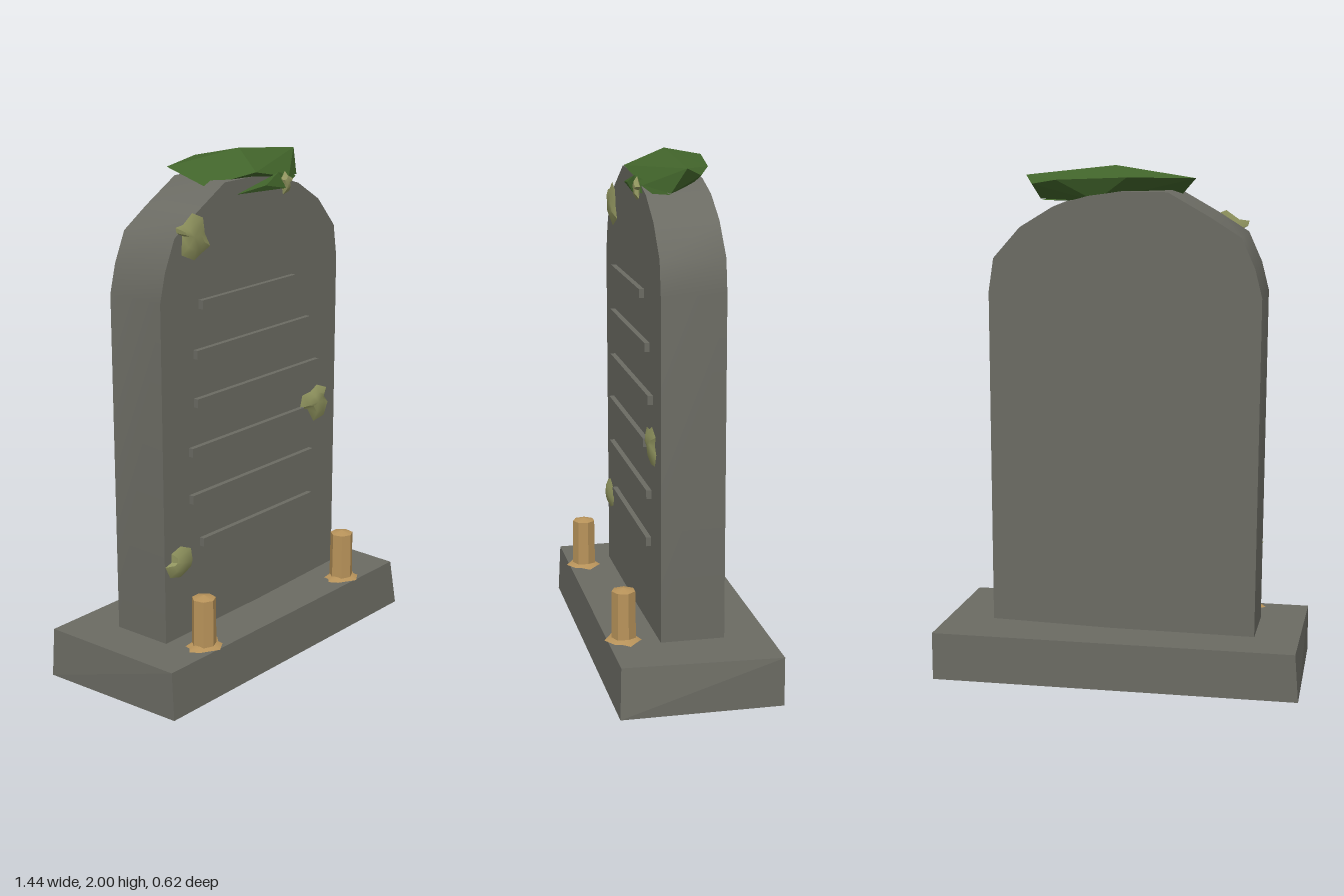
import * as THREE from 'three';
import { toCreasedNormals } from 'three/addons/utils/BufferGeometryUtils.js';
import { ConvexGeometry } from 'three/addons/geometries/ConvexGeometry.js';

const material = (name, color) => {
  const m = new THREE.MeshStandardMaterial({ color });
  m.name = name;
  return m;
};

// Thin closed lump: counter-clockwise outline in xy, raised to a front and a back apex
function patchGeometry(outline, front, back) {
  const n = outline.length;
  const cx = outline.reduce((s, p) => s + p[0], 0) / n;
  const cy = outline.reduce((s, p) => s + p[1], 0) / n;
  const pos = [];
  outline.forEach((a, i) => {
    const b = outline[(i + 1) % n];
    // inner ring at 55% gives the lump a rounded face
    const inner = (p) => [cx + (p[0] - cx) * 0.55, cy + (p[1] - cy) * 0.55, front * 0.8];
    const ia = inner(a), ib = inner(b);
    pos.push(...a, 0, ...b, 0, ...ib, ...a, 0, ...ib, ...ia);
    pos.push(...ia, ...ib, cx, cy, front);
    pos.push(...b, 0, ...a, 0, cx, cy, back);
  });
  const g = new THREE.BufferGeometry();
  g.setAttribute('position', new THREE.Float32BufferAttribute(pos, 3));
  return toCreasedNormals(g, 0.6);
}

export function createModel() {
  const group = new THREE.Group();
  group.name = 'gravestone';
  const stone = material('weathered stone', 0x6b6b63);
  const moss = material('moss green', 0x42652b);
  const lichen = material('lichen', 0x929660);
  const wax = material('candle wax', 0xb8935a);

  const add = (name, geometry, mat, parent = group) => {
    const mesh = new THREE.Mesh(geometry, mat);
    mesh.name = name;
    parent.add(mesh);
    return mesh;
  };

  // Plinth, a box with a few worn corners
  let plinth = new THREE.BoxGeometry(1.44, 0.19, 0.62).toNonIndexed();
  const p = plinth.attributes.position;
  for (let i = 0; i < p.count; i++) {
    const top = p.getY(i) > 0, front = p.getZ(i) > 0;
    if (p.getX(i) > 0) {
      if (top && front) p.setX(i, 0.69);
    } else if (top || front) p.setX(i, -0.706);
    if (top && front) p.setZ(i, 0.3);
  }
  plinth.computeVertexNormals();
  add('plinth', plinth, stone).position.y = 0.095;

  // Arched slab, its foot lifted slightly on one side
  const arch = [
    [-0.53, 0.19], [0.04, 0.193], [0.515, 0.205], [0.515, 1.52], [0.495, 1.65],
    [0.39, 1.77], [0.26, 1.85], [0.13, 1.89], [0, 1.91], [-0.18, 1.91],
    [-0.34, 1.82], [-0.46, 1.745], [-0.512, 1.63], [-0.54, 1.52],
  ];
  const slab = new THREE.ExtrudeGeometry(
    new THREE.Shape(arch.map(([x, y]) => new THREE.Vector2(x, y))),
    { depth: 0.245, bevelEnabled: false });
  add('slab', toCreasedNormals(slab, 0.65), stone).position.z = -0.13;

  // Raised inscription bars: left end, right end, height
  [
    [-0.33, 0.225, 1.48], [-0.36, 0.32, 1.295], [-0.36, 0.38, 1.108],
    [-0.39, 0.29, 0.922], [-0.39, 0.35, 0.735], [-0.33, 0.345, 0.547],
  ].forEach(([x0, x1, y], i) => {
    add(`inscriptionBar${i + 1}`, new THREE.BoxGeometry(x1 - x0, 0.034, 0.025), stone)
      .position.set((x0 + x1) / 2, y, 0.1225);
  });

  // Moss draped over the crown: a main clump and a thin tongue in front
  const hull = (points) => new ConvexGeometry(points.map((v) => new THREE.Vector3(...v)));
  add('mossClump', hull([
    [-0.28, 1.96, -0.08], [-0.03, 1.965, -0.16], [0.25, 1.95, -0.12], [0.355, 1.93, -0.07],
    [0.39, 1.96, -0.01], [0.04, 2, 0], [0.345, 1.865, 0.04], [0.2, 1.88, 0.115],
    [-0.03, 1.93, 0.14], [-0.21, 1.89, 0.045], [0.1, 1.87, -0.1],
  ]), moss);
  add('mossTongue', hull([
    [-0.12, 1.857, 0.122], [0.03, 1.873, 0.14], [0.15, 1.847, 0.14],
    [0.34, 1.86, 0.04], [0.12, 1.91, 0.128], [0.05, 1.86, 0.1],
  ]), moss);

  // Lichen patches on the face
  [
    [[-0.43, 1.68], [-0.36, 1.65], [-0.33, 1.665], [-0.27, 1.69], [-0.3, 1.74], [-0.31, 1.8],
      [-0.37, 1.825], [-0.42, 1.79], [-0.46, 1.785], [-0.455, 1.765], [-0.425, 1.75]],
    [[0.37, 0.86], [0.44, 0.87], [0.465, 0.92], [0.44, 0.95], [0.455, 0.985], [0.39, 1.01],
      [0.35, 0.99], [0.295, 0.985], [0.28, 0.935], [0.33, 0.92]],
    [[-0.45, 0.44], [-0.39, 0.465], [-0.38, 0.49], [-0.39, 0.54], [-0.45, 0.565],
      [-0.5, 0.55], [-0.5, 0.515], [-0.535, 0.505], [-0.51, 0.455]],
    [[0.15, 1.82], [0.19, 1.83], [0.185, 1.86], [0.21, 1.875], [0.18, 1.89],
      [0.16, 1.91], [0.145, 1.89], [0.125, 1.885], [0.14, 1.86]],
  ].forEach((outline, i) => {
    const mesh = add(`lichenPatch${i + 1}`, patchGeometry(outline, 0.018, -0.012), lichen);
    mesh.position.z = i === 3 ? 0.127 : 0.121;
  });

  // Two candles, each in a puddle of melted wax
  const candleProfile = [[0, 0.19], [0.048, 0.19], [0.046, 0.388], [0, 0.4]]
    .map(([r, y]) => new THREE.Vector2(r, y));
  const puddle = [
    [0.005, -0.075], [0.055, -0.045], [0.06, -0.02], [0.088, 0.01], [0.045, 0.045],
    [0.025, 0.065], [-0.02, 0.05], [-0.055, 0.045], [-0.06, 0.02], [-0.085, 0], [-0.065, -0.035],
  ];
  [['rightCandle', -0.452], ['leftCandle', 0.42]].forEach(([name, x]) => {
    const candle = new THREE.Group();
    candle.name = name;
    candle.position.set(x, 0, 0.238);
    group.add(candle);
    const stick = toCreasedNormals(new THREE.LatheGeometry(candleProfile, 7), 0.3);
    add('candleStick', stick, wax, candle);
    const melt = add('meltedWax', patchGeometry(puddle, 0.015, -0.012), wax, candle);
    melt.rotation.x = -Math.PI / 2;
    melt.position.y = 0.195;
  });

  return group;
}
